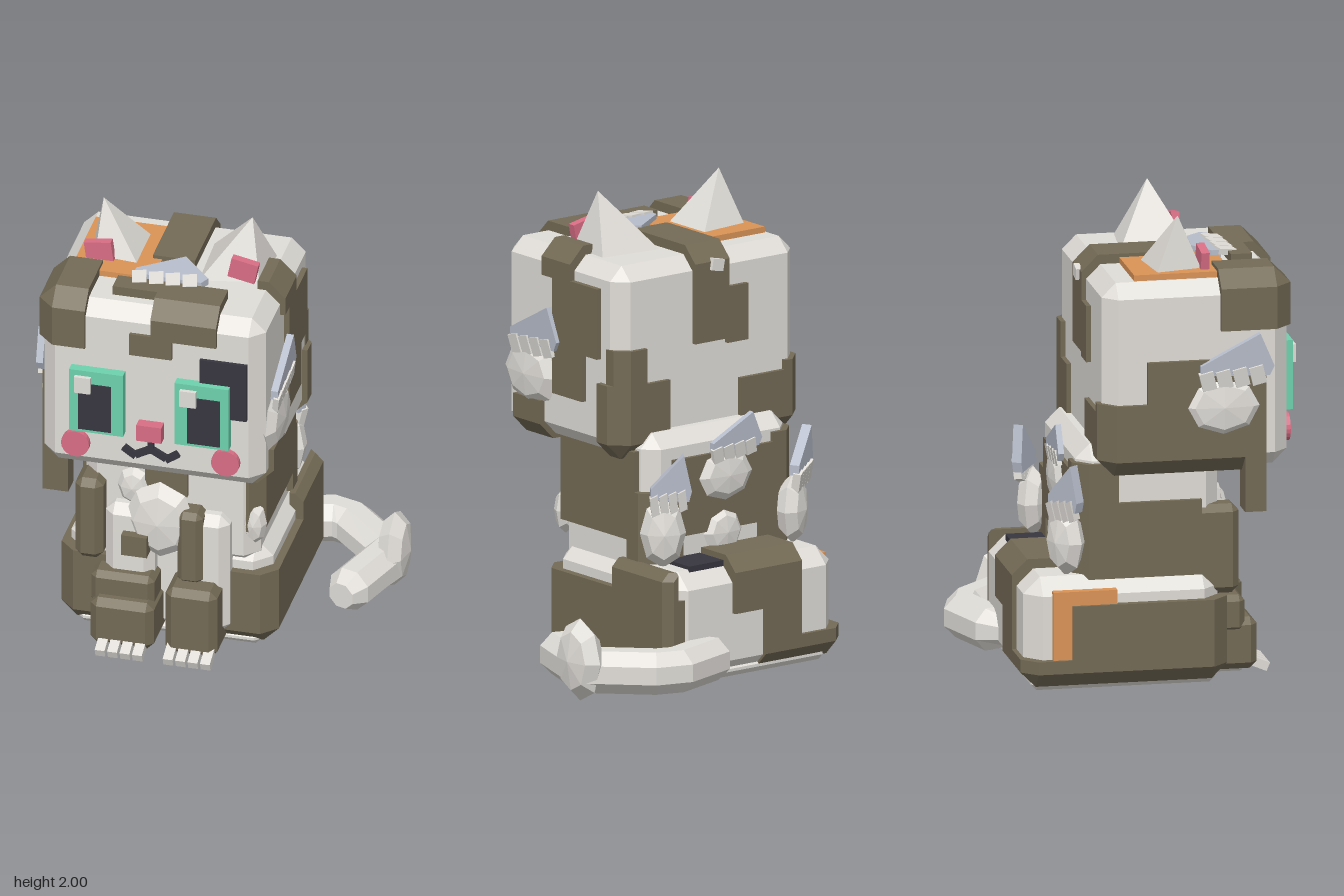
import * as THREE from 'three';
import { ConvexGeometry } from 'three/addons/geometries/ConvexGeometry.js';

const paint = (name, color) => {
  const m = new THREE.MeshStandardMaterial({ color, flatShading: true });
  m.name = name;
  return m;
};

// Chamfered box [x0,x1,y0,y1,z0,z1], cut down to the clip extents: corners are
// the points where three bounding planes meet inside all the others
function chamferedBox(e, c, clip) {
  const mid = [0, 1, 2].map((i) => (e[2 * i] + e[2 * i + 1]) / 2);
  const half = [0, 1, 2].map((i) => (e[2 * i + 1] - e[2 * i]) / 2);
  const planes = [];
  for (const x of [-1, 0, 1]) for (const y of [-1, 0, 1]) for (const z of [-1, 0, 1]) {
    const n = Math.abs(x) + Math.abs(y) + Math.abs(z);
    if (!n) continue;
    const s = [x, y, z];
    const reach = s.reduce((sum, v, i) => sum + v * mid[i] + Math.abs(v) * half[i], 0);
    planes.push({ n: new THREE.Vector3(x, y, z), d: reach - (n - 1) * c });
  }
  if (clip) for (let i = 0; i < 3; i++) {
    const n = new THREE.Vector3().setComponent(i, 1);
    planes.push({ n, d: clip[2 * i + 1] }, { n: n.clone().negate(), d: -clip[2 * i] });
  }
  const found = new Map();
  const bc = new THREE.Vector3(), ca = new THREE.Vector3(), ab = new THREE.Vector3();
  for (let i = 0; i < planes.length; i++) for (let j = i + 1; j < planes.length; j++) for (let k = j + 1; k < planes.length; k++) {
    const [a, b, g] = [planes[i], planes[j], planes[k]];
    bc.crossVectors(b.n, g.n);
    const det = a.n.dot(bc);
    if (Math.abs(det) < 1e-6) continue;
    ca.crossVectors(g.n, a.n);
    ab.crossVectors(a.n, b.n);
    const p = new THREE.Vector3().addScaledVector(bc, a.d).addScaledVector(ca, b.d).addScaledVector(ab, g.d).divideScalar(det);
    if (planes.every((q) => q.n.dot(p) < q.d + 1e-6)) found.set(p.toArray().map((v) => Math.round(v * 1e4)).join(), p);
  }
  return new ConvexGeometry([...found.values()]);
}

export function createModel() {
  const root = new THREE.Group();
  root.name = 'blockCat';
  const white = paint('paleFur', 0xe0ddd8);
  const brown = paint('brownFur', 0x736a55);
  const dark = paint('darkFur', 0x37363f);
  const orange = paint('orangeFur', 0xda9457);
  const pink = paint('pink', 0xd96e85);
  const teal = paint('tealEye', 0x6ed2ae);
  const blue = paint('blueGreyFur', 0xb7bdcb);

  const add = (name, geo, mat, parent = root) => {
    const m = new THREE.Mesh(geo, mat);
    m.name = name;
    parent.add(m);
    return m;
  };
  // Box given by its extents, optionally chamfered
  const block = (name, mat, x0, x1, y0, y1, z0, z1, c = 0) => {
    const x = (x0 + x1) / 2, y = (y0 + y1) / 2, z = (z0 + z1) / 2;
    const e = [x0 - x, x1 - x, y0 - y, y1 - y, z0 - z, z1 - z];
    const m = add(name, c ? chamferedBox(e, c) : new THREE.BoxGeometry(x1 - x0, y1 - y0, z1 - z0), mat);
    m.position.set(x, y, z);
    return m;
  };
  // Fur patches cut from a slightly larger shell around a body block
  const patches = (name, shell, c, list) => list.forEach((clip) => add(name, chamferedBox(shell, c, clip), brown));

  // Head and its patches
  block('head', white, -0.64, 0.305, 0.95, 1.75, -0.18, 0.6, 0.06);
  patches('headPatch', [-0.66, 0.328, 0.93, 1.79, -0.2, 0.615], 0.07, [
    [-0.7, -0.45, 1.54, 1.9, 0.31, 0.7],
    [-0.17, 0.11, 1.625, 1.9, 0.41, 0.7],
    [-0.26, -0.08, 1.54, 1.64, 0.5, 0.7],
    [-0.36, -0.16, 1.7, 1.9, 0.41, 0.5],
    [0.21, 0.4, 1.64, 1.9, 0.12, 0.31],
    [0.25, 0.4, 1.35, 1.65, -0.06, 0.24],
    [0.25, 0.4, 1.15, 1.36, 0.04, 0.24],
    [0.2, 0.4, 0.9, 1.1, 0.32, 0.5],
    [0.05, 0.4, 0.9, 1.25, -0.3, -0.06],
    [0.17, 0.31, 1.24, 1.4, -0.3, -0.1],
    [-0.7, -0.55, 0.9, 1.24, -0.3, 0.5],
    [-0.7, -0.6, 1.23, 1.42, 0, 0.5],
    [-0.56, -0.32, 0.9, 1.2, -0.3, -0.1],
    [-0.26, -0.08, 1.38, 1.9, -0.3, 0.22],
    [-0.36, -0.25, 1.36, 1.6, -0.3, -0.1],
  ]);
  block('cheekLock', brown, -0.66, -0.55, 0.765, 1, 0.41, 0.5);
  block('backClaw', white, -0.22, -0.16, 1.68, 1.73, -0.215, -0.19).rotation.z = 0.2;
  block('headTopPatch', orange, -0.57, -0.22, 1.7, 1.775, -0.04, 0.37);

  // Ears
  const ear = (apexX, corners, px, tilt) => {
    const pts = corners.map(([x, z]) => new THREE.Vector3(x, 1.74, z));
    pts.push(new THREE.Vector3(apexX, 2, 0.16));
    add('ear', new ConvexGeometry(pts), white);
    block('innerEar', pink, px - 0.058, px + 0.058, 1.765, 1.855, 0.25, 0.285).rotation.z = tilt;
  };
  ear(-0.485, [[-0.55, 0.05], [-0.29, 0.02], [-0.29, 0.29], [-0.5, 0.27]], -0.475, 0.14);
  ear(0.15, [[-0.06, 0], [0.225, 0.03], [0.205, 0.26], [-0.05, 0.31]], 0.14, -0.2);

  // Face
  block('eyePatch', dark, 0.04, 0.24, 1.29, 1.56, 0.59, 0.615);
  for (const x of [-0.395, 0.055]) {
    block('eye', teal, x - 0.115, x + 0.115, 1.155, 1.45, 0.59, 0.642);
    const px = x + (x < 0 ? -0.005 : 0.01);
    block('pupil', dark, px - 0.07, px + 0.07, 1.17, 1.39, 0.63, 0.648);
    block('eyeShine', white, x - 0.09, x - 0.02, 1.35, 1.425, 0.63, 0.66);
  }
  block('nose', pink, -0.222, -0.115, 1.15, 1.225, 0.59, 0.648);
  block('mouthStem', dark, -0.182, -0.155, 1.075, 1.15, 0.59, 0.617);
  for (const s of [-1, 1]) {
    block('mouthInner', dark, -0.169 + s * 0.035 - 0.035, -0.169 + s * 0.035 + 0.035, 1.06, 1.09, 0.59, 0.617).rotation.z = -s * 0.5;
    block('mouthOuter', dark, -0.169 + s * 0.09 - 0.032, -0.169 + s * 0.09 + 0.032, 1.055, 1.085, 0.59, 0.617).rotation.z = s * 0.6;
    const cheek = add('cheek', new THREE.CylinderGeometry(0.06, 0.06, 0.04, 20), pink);
    cheek.rotation.x = Math.PI / 2;
    cheek.position.set(-0.169 + s * 0.32, 1.08, 0.605);
  }

  // Torso and its patches
  block('torso', white, -0.53, 0.215, 0.4, 1.04, -0.27, 0.33, 0.06);
  patches('torsoPatch', [-0.55, 0.243, 0.38, 1.06, -0.288, 0.35], 0.06, [
    [0.17, 0.3, 0.59, 0.97, -0.2, 0.4],
    [-0.26, -0.16, 0.74, 0.95, 0.28, 0.4],
    [-0.17, -0.08, 0.72, 0.88, 0.28, 0.4],
    [-0.6, -0.45, 0.45, 0.8, -0.2, 0.25],
    [-0.6, -0.42, 0.68, 0.97, -0.3, -0.1],
    [-0.45, 0.1, 0.6, 0.93, -0.3, -0.2],
    [0.05, 0.3, 0.5, 0.8, -0.3, -0.15],
    [-0.6, -0.35, 0.45, 0.7, -0.3, -0.15],
  ]);
  block('shoulderPatch', brown, -0.55, -0.43, 0.39, 0.77, 0.2, 0.41, 0.03);

  // Seated hindquarters and their patches
  block('hips', white, -0.6, 0.262, 0.03, 0.5, -0.5, 0.32, 0.07);
  block('base', white, -0.56, 0.22, 0.018, 0.08, -0.47, 0.31, 0.025);
  patches('hipPatch', [-0.632, 0.295, 0.04, 0.54, -0.52, 0.352], 0.065, [
    [0.06, 0.4, 0, 0.39, 0.1, 0.5],
    [0.2, 0.4, 0, 0.39, -0.49, 0.12],
    [0.235, 0.4, 0.38, 0.51, -0.49, -0.12],
    [-0.7, -0.34, 0, 0.39, 0.1, 0.5],
    [-0.7, -0.55, 0, 0.39, -0.31, 0.12],
    [-0.7, -0.35, 0, 0.16, -0.6, -0.3],
    [-0.39, -0.04, 0.3, 0.6, -0.6, -0.29],
    [-0.39, -0.2, 0, 0.31, -0.6, -0.4],
  ]);
  block('hipTopPatch', dark, -0.04, 0.14, 0.47, 0.515, -0.44, -0.28);
  block('hipSidePatch', orange, -0.618, -0.555, 0.12, 0.45, -0.39, -0.12);

  // Front legs, paws, pads and toes
  [[-0.32, -0.19], [0, 0.08]].forEach(([x, px], i) => {
    const left = px - (i ? 0.22 : 0.27);
    block('frontLeg', white, x - 0.105, x + 0.105, 0.1, 0.66, 0.12, 0.4, 0.04);
    block('paw', brown, left, px, 0.04, i ? 0.355 : 0.26, 0.12, 0.505, 0.03);
    block('pad', white, left + 0.05, px - 0.05, 0.022, 0.06, 0.3, 0.46, 0.015);
    for (let t = 0; t < 4; t++) {
      const tx = (i ? -0.11 : -0.4) + t * 0.053;
      block('toe', white, tx - 0.021, tx + 0.021, 0.04, 0.078, 0.45, 0.56).rotation.x = 0.4;
    }
  });
  block('ankleFur', brown, -0.47, -0.2, 0.2, 0.36, 0.15, 0.45, 0.025);
  block('legPatch', brown, -0.11, 0, 0.34, 0.68, 0.3, 0.425, 0.025);
  block('legPatch', brown, -0.34, -0.23, 0.455, 0.55, 0.33, 0.44);

  // Tail: octagonal rings swept around a bent path, [x, z, radius]
  const path = [[0.02, -0.44, 0.06], [0.08, -0.505, 0.09], [0.31, -0.578, 0.09], [0.4, -0.55, 0.09], [0.595, -0.36, 0.09], [0.59, -0.29, 0.09], [0.51, -0.05, 0.09], [0.49, 0.015, 0.055]];
  const N = 8, verts = [], index = [];
  path.forEach(([x, z, r], i) => {
    const a = path[Math.max(i - 1, 0)], b = path[Math.min(i + 1, path.length - 1)];
    const dir = new THREE.Vector2(b[0] - a[0], b[1] - a[1]).normalize();
    for (let k = 0; k < N; k++) {
      const t = ((k + 0.5) / N) * Math.PI * 2, s = Math.cos(t) * r * 1.08;
      verts.push(x - dir.y * s, 0.13 + Math.sin(t) * r * 1.08, z + dir.x * s);
      const p = i * N + k, q = i * N + ((k + 1) % N);
      if (i < path.length - 1) index.push(p, p + N, q, q, p + N, q + N);
    }
  });
  const last = (path.length - 1) * N;
  for (let k = 1; k < N - 1; k++) index.push(0, k, k + 1, last, last + k + 1, last + k);
  const tailGeo = new THREE.BufferGeometry();
  tailGeo.setAttribute('position', new THREE.Float32BufferAttribute(verts, 3));
  tailGeo.setIndex(index);
  const tailFlat = tailGeo.toNonIndexed();
  tailFlat.computeVertexNormals();
  white.side = THREE.DoubleSide;
  add('tail', tailFlat, white);

  // Faceted fur lumps, flattened along z
  const lumpGeo = new THREE.SphereGeometry(1, 8, 4).rotateX(Math.PI / 2);
  const lump = (name, x, y, z, sx, sy, sz, parent = root) => {
    const m = add(name, lumpGeo, white, parent);
    m.position.set(x, y, z);
    m.scale.set(sx, sy, sz);
    return m;
  };
  lump('tailTuft', 0.63, 0.175, -0.335, 0.135, 0.175, 0.07).rotation.y = Math.PI / 2;
  lump('chestTuft', -0.19, 0.61, 0.37, 0.15, 0.18, 0.06);
  lump('chestTuft', -0.31, 0.74, 0.34, 0.07, 0.09, 0.04);
  lump('flankTuft', 0.2, 0.62, 0.31, 0.05, 0.1, 0.05);
  lump('lowerBackTuft', -0.16, 0.59, -0.28, 0.1, 0.1, 0.04);

  // Ruffled tuft: lump, row of points and a pointed wedge; built facing +z
  const tuft = (name, x, y, z, turn, scale, tipX = 0.15, withLump = true) => {
    const g = new THREE.Group();
    g.name = name;
    if (withLump) lump('lump', 0, 0, 0, 0.175, 0.135, 0.045, g);
    const tri = new THREE.Shape([[-0.1, 0.14], [0.19, 0.13], [0.21, 0.17], [tipX, 0.31], [-0.1, 0.18]].map((p) => new THREE.Vector2(...p)));
    const wedge = add('wedge', new THREE.ExtrudeGeometry(tri, { depth: 0.03, bevelEnabled: false }), blue, g);
    wedge.rotation.x = 0.03;
    for (let i = 0; i < 4; i++) {
      const p = add('furPoint', new THREE.BoxGeometry(0.06, 0.08, 0.025), white, g);
      p.position.set(-0.07 + i * 0.07, 0.115 + i * 0.006, 0.025);
      p.rotation.set(0.15, 0, 0.25);
    }
    g.position.set(x, y, z);
    g.rotation.y = turn;
    g.scale.setScalar(scale);
    root.add(g);
    return g;
  };
  tuft('leftCheekTuft', 0.31, 1.205, 0.4, Math.PI / 2, 1);
  tuft('rightCheekTuft', -0.645, 1.22, 0.32, -Math.PI / 2, 1);
  tuft('backTuft', -0.17, 0.83, -0.285, Math.PI, 0.82);
  tuft('backLeftTuft', 0.18, 0.64, -0.315, Math.PI * 0.82, 1).scale.set(0.55, 1.1, 1.4);
  tuft('backRightTuft', -0.5, 0.64, -0.315, -Math.PI * 0.82, 1).scale.set(0.55, 1.1, 1.4);

  // Crown tuft lying flat on the head
  tuft('crownTuft', -0.2, 1.76, 0.52, 0, 1, 0.08, false).rotation.x = -Math.PI / 2;

  return root;
}
